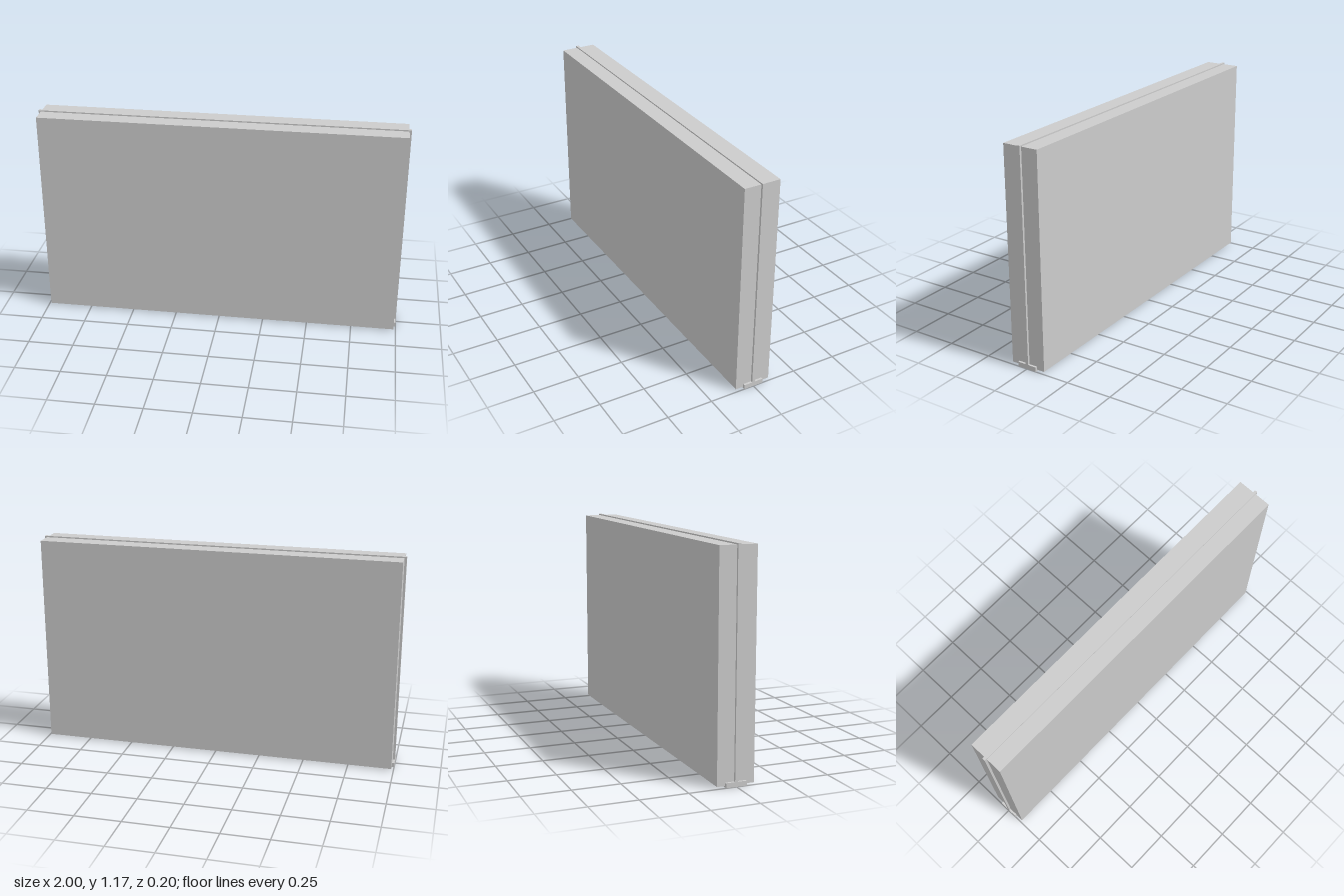
import * as THREE from 'three';

const material = new THREE.MeshStandardMaterial({ color: 0xcccccc, flatShading: true });

// Box centred on x and z, spanning y0 to y1
function slab(name, width, y0, y1, depth) {
  const mesh = new THREE.Mesh(new THREE.BoxGeometry(width, y1 - y0, depth), material);
  mesh.name = name;
  mesh.position.y = (y0 + y1) / 2;
  return mesh;
}

export function createModel() {
  const model = new THREE.Group();
  model.name = 'wallPanel';
  model.add(
    // Thick panel body
    slab('panelBody', 1.976, 0.008, 1.165, 0.197),
    // Thin core sheet standing proud of the top and both ends
    slab('coreSheet', 2, 0.012, 1.172, 0.016),
    // Wide sill strip under the panel, showing at both ends
    slab('sillStrip', 2, 0, 0.025, 0.11)
  );
  return model;
}
